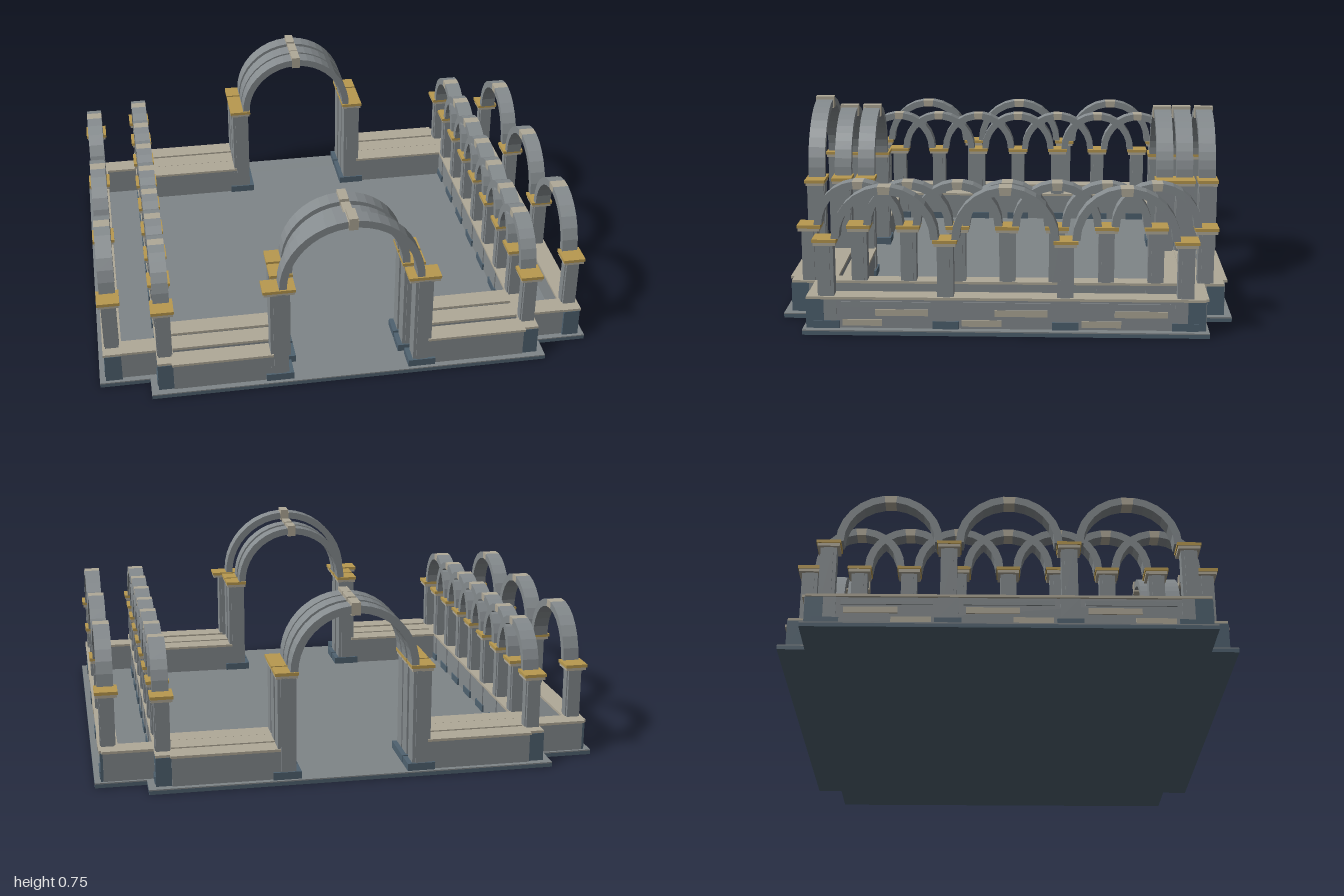
import * as THREE from 'three';

const mat = (name, color) => {
  const m = new THREE.MeshStandardMaterial({ color });
  m.name = name;
  return m;
};

export function createModel() {
  const stone = mat('grey stone', 0x858b8e);
  const paving = mat('paving', 0x7f8588);
  const pale = mat('pale stone', 0xb0a998);
  const gold = mat('ochre cap', 0xb8994f);
  const slate = mat('blue slate', 0x4f6270);

  const root = new THREE.Group();
  root.name = 'arcadedCourt';

  const group = (name, parent = root) => {
    const g = new THREE.Group();
    g.name = name;
    parent.add(g);
    return g;
  };

  // Box given by its limits on each axis
  const box = (parent, name, m, x0, x1, y0, y1, z0, z1) => {
    const mesh = new THREE.Mesh(new THREE.BoxGeometry(x1 - x0, y1 - y0, z1 - z0), m);
    mesh.position.set((x0 + x1) / 2, (y0 + y1) / 2, (z0 + z1) / 2);
    mesh.name = name;
    parent.add(mesh);
    return mesh;
  };

  // Box given by centre and half sizes in plan
  const post = (parent, name, m, x, z, hx, hz, y0, y1) =>
    box(parent, name, m, x - hx, x + hx, y0, y1, z - hz, z + hz);

  // One wedge-shaped arch stone, centred in depth
  const wedge = (r, R, a0, a1, depth) => {
    const s = new THREE.Shape();
    s.moveTo(r * Math.cos(a0), r * Math.sin(a0));
    s.lineTo(R * Math.cos(a0), R * Math.sin(a0));
    s.lineTo(R * Math.cos(a1), R * Math.sin(a1));
    s.lineTo(r * Math.cos(a1), r * Math.sin(a1));
    s.closePath();
    const g = new THREE.ExtrudeGeometry(s, { depth, bevelEnabled: false });
    return g.translate(0, 0, -depth / 2);
  };

  // Semicircular arch of separate stones with a pale keystone
  const arch = (parent, name, r, R, depth, count) => {
    const g = group(name, parent);
    for (let i = 0; i < count; i++) {
      const key = i === (count - 1) / 2;
      const a = (i * Math.PI) / count;
      const geo = wedge(r, R, a, a + Math.PI / count, depth);
      const mesh = new THREE.Mesh(geo, key ? pale : stone);
      mesh.name = key ? 'keystone' : 'archStone';
      g.add(mesh);
    }
    return g;
  };

  // Two-tier capital: pale block under an ochre slab
  const capital = (parent, x, z, hx, hz, y0, y1) => {
    const mid = (y0 + y1) / 2;
    post(parent, 'capital', pale, x, z, hx - 0.004, hz - 0.004, y0, mid);
    post(parent, 'capitalSlab', gold, x, z, hx, hz, mid, y1);
  };

  // Cross-shaped base slab with paving
  const floor = group('floor');
  box(floor, 'slab', slate, -1, 1, 0, 0.015, -0.77, 0.77);
  for (const s of [-1, 1]) {
    const z = [0.77 * s, 0.875 * s].sort((a, b) => a - b);
    box(floor, 'slabEnd', slate, -0.8, 0.8, 0, 0.015, z[0], z[1]);
    box(floor, 'pavingEnd', paving, -0.8, 0.8, 0.015, 0.02, z[0], z[1]);
  }
  box(floor, 'paving', paving, -1, 1, 0.015, 0.02, -0.77, 0.77);

  // Gateways: three arches deep at each end, each with its own low walls
  const gateway = (name, z, o) => {
    const g = group(name);
    for (const s of [-1, 1]) {
      const x = s * o.x;
      post(g, 'pierBase', slate, x, z, 0.055, 0.043, 0.02, 0.05);
      post(g, 'pier', stone, x, z, 0.036, 0.034, 0.05, 0.428);
      post(g, 'pierRib', stone, x, z, 0.024, 0.038, 0.05, 0.428);
      capital(g, x, z, o.cap, 0.042, 0.425, 0.45);
      const lo = o.x + 0.03;
      const mid = (s * (lo + o.wall)) / 2;
      const half = (o.wall - lo) / 2;
      post(g, 'lowWall', stone, mid, z, half, 0.033, 0.02, 0.135);
      post(g, 'coping', pale, mid, z, half + 0.005, o.cope, 0.135, 0.145);
    }
    arch(g, 'gateArch', o.r, o.R, 0.07, 21).position.set(0, 0.447, z);
    box(g, 'crownStone', pale, -0.018, 0.018, 0.447 + o.r - 0.008, 0.447 + o.R + 0.012,
      z - 0.039, z + 0.039);
  };
  const small = { x: 0.266, cap: 0.046, r: 0.222, R: 0.252, wall: 0.71, cope: 0.041 };
  const wide = { ...small, wall: 0.965 };
  const tall = { x: 0.288, cap: 0.065, r: 0.258, R: 0.288, wall: 0.71, cope: 0.041 };
  gateway('frontOuterGate', 0.818, tall);
  gateway('frontMiddleGate', 0.712, wide);
  gateway('frontInnerGate', 0.614, small);
  gateway('backOuterGate', -0.822, small);
  gateway('backMiddleGate', -0.727, wide);
  gateway('backInnerGate', -0.644, small);

  // Side arcades: n columns at a pitch, each arch spanning a number of bays
  const arcade = (name, side, x0, o) => {
    const g = group(name);
    const x = side * x0;
    post(g, 'lowWall', stone, x, 0, 0.028, o.end, 0.02, 0.135);
    post(g, 'coping', pale, x, 0, o.cope, o.end + 0.04, 0.135, 0.145);
    const first = -o.pitch * (o.n - 1) / 2;
    for (let i = 0; i < o.n; i++) {
      const z = first + i * o.pitch;
      post(g, 'columnBase', slate, x, z, 0.036, 0.05, 0.02, 0.05);
      post(g, 'pedestal', stone, x, z, 0.032, 0.038, 0.05, 0.135);
      post(g, 'column', stone, x, z, 0.026, 0.031, 0.145, 0.348);
      post(g, 'columnRib', stone, x, z, 0.03, 0.018, 0.145, 0.348);
      capital(g, x, z, 0.045, 0.046, 0.345, 0.37);
      if (i + o.bays < o.n) {
        const a = arch(g, 'arcadeArch', o.R - 0.03, o.R, 0.064, 13);
        a.position.set(x, 0.37, z + (o.pitch * o.bays) / 2);
        a.rotation.y = Math.PI / 2;
      }
    }
    // Slate pedestals closing both ends
    for (const s of [-1, 1])
      post(g, 'endPedestal', slate, x, s * (o.end + 0.008), 0.033, 0.034, 0.02, 0.135);
    return g;
  };

  for (const side of [-1, 1]) {
    const outer = arcade('outerArcade', side, 0.942,
      { n: 4, pitch: 0.453, bays: 1, R: 0.202, end: 0.715, cope: 0.038 });
    // Interlaced arches, each crossing its neighbours
    arcade('innerArcade', side, 0.738,
      { n: 9, pitch: 0.193, bays: 2, R: 0.174, end: 0.805, cope: 0.033 });

    // Courses of pale facing stones between the outer pedestals
    for (let b = -1; b <= 1; b++) {
      const z = b * 0.453;
      post(outer, 'facingStone', pale, side * 0.972, z + 0.09, 0.003, 0.075, 0.03, 0.055);
      post(outer, 'facingStone', pale, side * 0.972, z - 0.06, 0.003, 0.1, 0.07, 0.095);
      post(outer, 'facingStone', stone, side * 0.972, z, 0.003, 0.17, 0.105, 0.125);
    }
  }

  return root;
}
